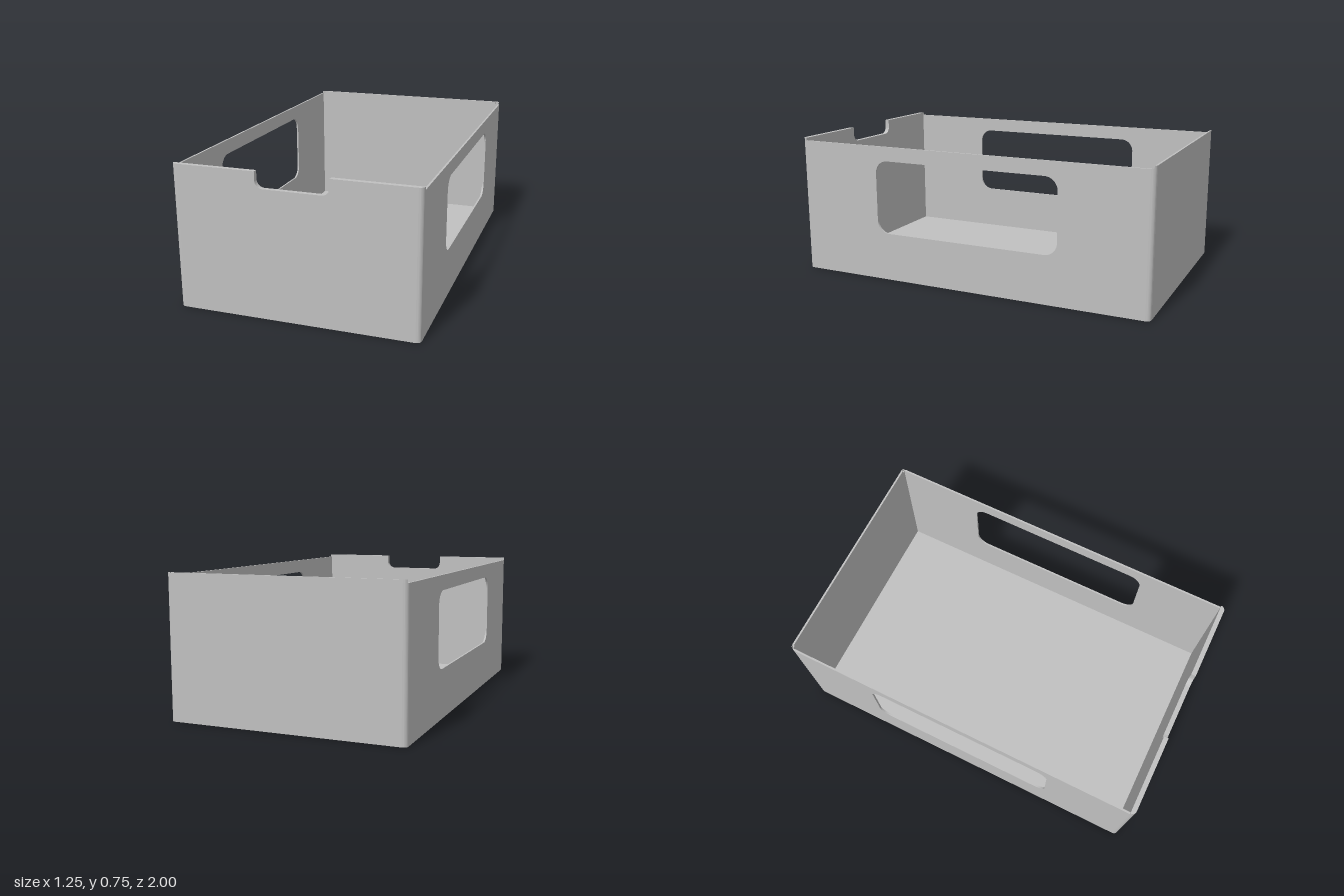
import * as THREE from 'three';
import { toCreasedNormals } from 'three/addons/utils/BufferGeometryUtils.js';

const W = 0.625, L = 1;            // half width and half length
const H = 0.75, SIDE_H = 0.735;    // end walls rise slightly above the sides
const T = 0.01, FRONT_T = 0.025;   // thin walls, thicker front wall
const R = 0.025;                   // radius of the vertical corners

const grey = new THREE.MeshStandardMaterial({ color: 0xc0c0c0 });
grey.name = 'grey';

function extrude(shape, depth) {
  return toCreasedNormals(
    new THREE.ExtrudeGeometry(shape, { depth, bevelEnabled: false, curveSegments: 10 }), 0.5);
}

function rectangle(x0, y0, x1, y1) {
  return new THREE.Shape().moveTo(x0, y0).lineTo(x1, y0).lineTo(x1, y1).lineTo(x0, y1).closePath();
}

function roundedHole(x0, y0, x1, y1, r) {
  const p = new THREE.Path();
  p.moveTo(x0 + r, y0);
  p.absarc(x1 - r, y0 + r, r, -Math.PI / 2, 0);
  p.absarc(x1 - r, y1 - r, r, 0, Math.PI / 2);
  p.absarc(x0 + r, y1 - r, r, Math.PI / 2, Math.PI);
  p.absarc(x0 + r, y0 + r, r, Math.PI, Math.PI * 1.5);
  return p;
}

export function createModel() {
  const group = new THREE.Group();
  const add = (name, geometry) => {
    const mesh = new THREE.Mesh(geometry, grey);
    mesh.name = name;
    group.add(mesh);
  };
  const endX = W - R, endZ = L - R;

  // Floor between the walls
  add('floor', new THREE.BoxGeometry(2 * (W - T), T, 2 * L - T - FRONT_T)
    .translate(0, T / 2, (T - FRONT_T) / 2));

  // Side walls with a rounded window
  for (const side of [1, -1]) {
    const wall = rectangle(-endZ, 0, endZ, SIDE_H);
    wall.holes.push(roundedHole(-0.522, 0.26, 0.522, 0.658, 0.07));
    add(side > 0 ? 'leftWall' : 'rightWall',
      extrude(wall, T).rotateY(Math.PI / 2).translate(side > 0 ? W - T : -W, 0, 0));
  }

  // Front wall with a finger notch in its top edge
  const n = 0.187, floorY = 0.667, r = 0.04;
  const front = new THREE.Shape();
  front.moveTo(-endX, 0).lineTo(endX, 0).lineTo(endX, H).lineTo(n, H);
  front.absarc(n - r, floorY + r, r, 0, -Math.PI / 2, true);
  front.absarc(-n + r, floorY + r, r, -Math.PI / 2, -Math.PI, true);
  front.lineTo(-n, H).lineTo(-endX, H).closePath();
  add('frontWall', extrude(front, FRONT_T).translate(0, 0, L - FRONT_T));

  // Back wall
  add('backWall', extrude(rectangle(-endX, 0, endX, H), T).translate(0, 0, -L));

  // Rounded corners, drawn in plan and extruded upward
  const inner = R - T;
  for (const side of [1, -1]) {
    const start = side > 0 ? 0 : Math.PI;
    const end = Math.PI / 2, ccw = side < 0;
    const place = (shape, height, y, z) =>
      extrude(shape, height).rotateX(-Math.PI / 2).translate(side * endX, y, z);

    const frontPost = new THREE.Shape().moveTo(0, 0).lineTo(side * R, 0);
    frontPost.absarc(0, 0, R, start, -end, side > 0);
    frontPost.closePath();
    add('frontCorner', place(frontPost, H, 0, endZ));

    const backPost = new THREE.Shape().moveTo(side * inner, 0).lineTo(side * R, 0);
    backPost.absarc(0, 0, R, start, end, ccw);
    backPost.lineTo(0, inner).lineTo(side * inner, inner).closePath();
    add('backCorner', place(backPost, SIDE_H, 0, -endZ));

    // Raised lip continuing the back wall over the corner
    const a = Math.asin(inner / R);
    const lip = new THREE.Shape().moveTo(0, inner);
    lip.absarc(0, 0, R, side > 0 ? a : Math.PI - a, end, ccw);
    lip.closePath();
    add('backCornerLip', place(lip, H - SIDE_H, SIDE_H, -endZ));
  }
  return group;
}
